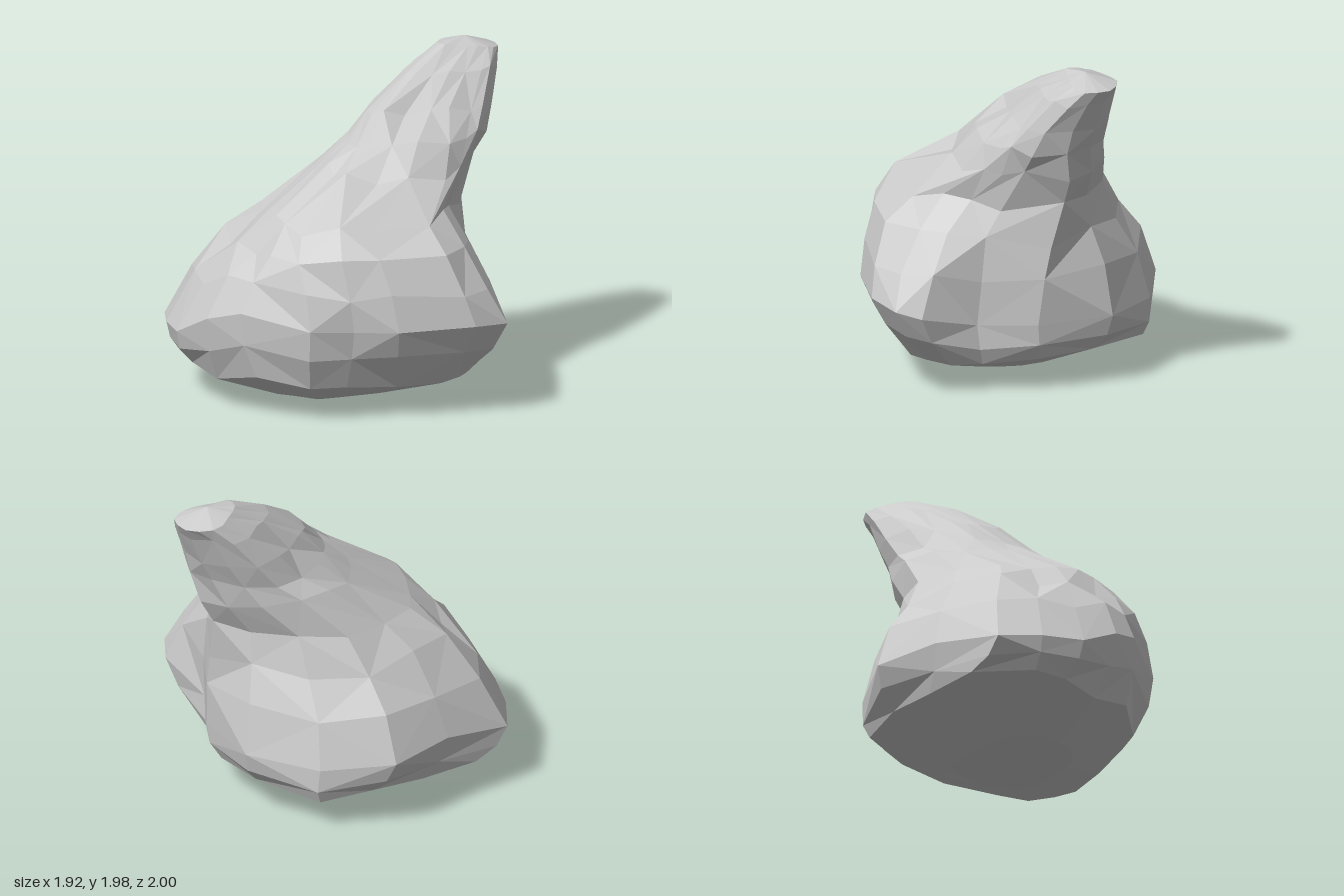
import * as THREE from 'three';

// Plan outlines as x, z and rise: from the front, round +x, the back and -x.
const KEEL = [
  [-0.3, 0.88, -0.02], [0.02, 0.86, 0.05], [0.3, 0.7, 0.01], [0.42, 0.52, 0], [0.55, 0.25, -0.01], [0.66, 0.0, -0.02],
  [0.66, -0.15, -0.02], [0.58, -0.28, -0.04], [0.42, -0.37, -0.04], [0.14, -0.56, 0], [-0.2, -0.6, 0], [-0.64, -0.5, -0.02],
  [-0.78, -0.22, 0.02], [-0.86, 0.1, 0.02], [-0.93, 0.46, 0.02], [-0.72, 0.77, 0.03], [-0.54, 0.85, 0.02],
];
const FOOT = [
  [-0.25, 1.0, 0.04], [-0.02, 0.95, 0.13], [0.39, 0.78, 0.06], [0.54, 0.57, 0.05], [0.73, 0.4, 0.06], [0.95, 0.0, 0.05],
  [0.96, -0.24, 0.04], [0.84, -0.34, 0], [0.47, -0.38, -0.1], [0.2, -0.61, -0.1], [-0.25, -0.72, -0.1], [-0.67, -0.52, -0.12],
  [-0.96, -0.19, -0.07], [-0.95, 0.22, -0.05], [-0.96, 0.68, -0.14], [-0.76, 0.85, -0.1], [-0.53, 0.98, -0.09],
];
const SHOULDER = [
  [-0.1, 0.6, 0], [0.02, 0.64, 0], [0.19, 0.67, 0], [0.4, 0.54, 0], [0.52, 0.37, 0], [0.67, 0.05, 0],
  [0.57, -0.14, 0], [0.46, -0.27, 0], [0.37, -0.43, 0], [0.08, -0.68, 0], [-0.18, -0.6, 0], [-0.42, -0.44, 0],
  [-0.6, -0.2, 0], [-0.62, 0.1, 0], [-0.55, 0.36, 0], [-0.4, 0.48, 0], [-0.25, 0.55, 0],
];
const PEAK = [
  [-0.08, -0.19, 0], [0.0, -0.15, 0], [0.06, -0.17, 0], [0.12, -0.28, 0], [0.18, -0.4, 0], [0.23, -0.5, 0],
  [0.27, -0.62, 0], [0.28, -0.7, 0], [0.24, -0.81, 0], [0.12, -0.88, 0], [-0.02, -0.9, 0], [-0.15, -0.82, 0],
  [-0.25, -0.7, 0], [-0.25, -0.55, 0], [-0.2, -0.42, 0], [-0.16, -0.32, 0], [-0.12, -0.25, 0],
];
const OUTLINES = [KEEL, FOOT, SHOULDER, PEAK];

// Levels: height, x range, z range, blend along OUTLINES, slope along z, unevenness.
const LEVELS = [
  [0.04, -0.42, 0.22, -0.22, 0.52, 0, 0, 0.003],
  [0.2, -0.93, 0.66, -0.6, 0.88, 0, 0, 0.01],
  [0.36, -0.95, 0.86, -0.7, 0.97, 0.65, 0, 0.02],
  [0.52, -0.96, 0.96, -0.73, 1.0, 1, 0, 0.01],
  [0.76, -0.87, 0.9, -0.68, 0.88, 1.42, 0, 0.04],
  [0.95, -0.71, 0.79, -0.66, 0.77, 1.78, 0, 0.04],
  [1.13, -0.57, 0.62, -0.69, 0.66, 2, 0, 0.04],
  [1.35, -0.42, 0.46, -0.77, 0.25, 2.35, 0, 0.04],
  [1.5, -0.33, 0.38, -0.81, 0.1, 2.7, 0, 0.03],
  [1.65, -0.28, 0.31, -0.87, -0.07, 3, 0, 0.03],
  [1.82, -0.22, 0.22, -0.95, -0.36, 3, 0, 0.02],
  [2.04, -0.16, 0.14, -1.0, -0.62, 3, 0.14, 0.004],
];

function seeded(seed) {
  return () => {
    seed = (seed * 16807) % 2147483647;
    return (seed / 2147483647) * 2 - 1;
  };
}

// One ring: blend two neighbouring outlines, then fit the result to the level's extents.
function ring([y, x0, x1, z0, z1, blend, slope, rough], rand) {
  const first = Math.min(Math.floor(blend), OUTLINES.length - 2);
  const upper = OUTLINES[first + 1];
  const pts = OUTLINES[first].map((p, i) =>
    p.map((v, k) => THREE.MathUtils.lerp(v, upper[i][k], blend - first)));
  const range = (k) => [Math.min(...pts.map((p) => p[k])), Math.max(...pts.map((p) => p[k]))];
  const rx = range(0);
  const rz = range(1);
  const flatten = Math.min(1, y * 5); // keeps the lowest ring nearly level
  return pts.map(([x, z, rise]) => {
    const px = THREE.MathUtils.mapLinear(x, rx[0], rx[1], x0, x1);
    const pz = THREE.MathUtils.mapLinear(z, rz[0], rz[1], z0, z1);
    return [
      THREE.MathUtils.clamp(px + rand() * rough * 0.3, x0, x1),
      y + rise * flatten + slope * pz + rand() * rough,
      THREE.MathUtils.clamp(pz + rand() * rough * 0.3, z0, z1),
    ];
  });
}

function boulderGeometry() {
  const rand = seeded(4711);
  const n = FOOT.length;
  const rings = LEVELS.map((level) => ring(level, rand));
  const base = rings.length * n;
  const points = [...rings.flat(), [-0.2, 0, 0.1], [0, 1.975, -0.8]];
  const faces = [];
  for (let i = 0; i < n; i++) {
    const j = (i + 1) % n;
    for (let r = 0; r < rings.length - 1; r++) {
      const a = r * n + i, b = r * n + j, c = b + n, d = a + n;
      // alternate diagonals for an irregular, faceted surface
      if ((i + r) % 2) faces.push(a, b, c, a, c, d);
      else faces.push(a, b, d, b, c, d);
    }
    faces.push(j, i, base); // underside
    faces.push(base - n + i, base - n + j, base + 1); // peak
  }
  const geometry = new THREE.BufferGeometry();
  geometry.setAttribute('position', new THREE.Float32BufferAttribute(points.flat(), 3));
  geometry.setIndex(faces);
  geometry.computeVertexNormals();
  return geometry;
}

export function createModel() {
  const group = new THREE.Group();
  group.name = 'rock';
  const stone = new THREE.MeshStandardMaterial({ color: 0xcccccc, flatShading: true });
  const boulder = new THREE.Mesh(boulderGeometry(), stone);
  boulder.name = 'boulder';
  group.add(boulder);
  return group;
}
